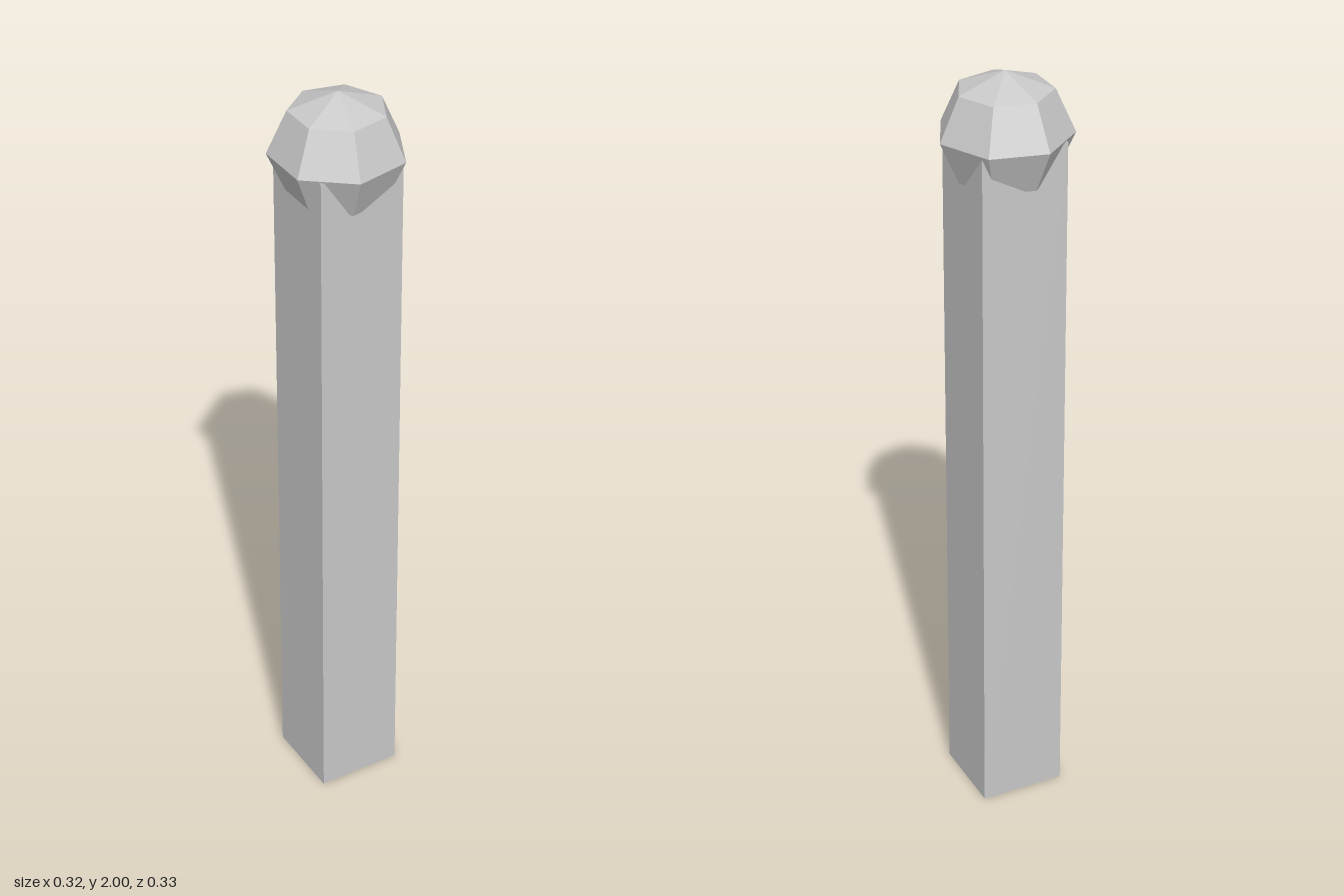
import * as THREE from 'three';

export function createModel() {
  const group = new THREE.Group();
  const stone = new THREE.MeshStandardMaterial({ color: 0xc8c8c8 });
  stone.name = 'light grey';
  stone.flatShading = true;

  // Square shaft, slightly off the axis of the cap
  const height = 1.84;
  const post = new THREE.Mesh(new THREE.BoxGeometry(0.223, height, 0.22), stone);
  post.name = 'post';
  post.position.set(-0.009, height / 2, 0);
  group.add(post);

  // Seven-sided faceted ball sunk over the top, one corner pointing to +x
  const ball = new THREE.SphereGeometry(1, 7, 4, Math.PI, Math.PI * 2);
  ball.scale(0.168, 0.155, 0.168);
  const cap = new THREE.Mesh(ball, stone);
  cap.name = 'ballCap';
  cap.position.set(-0.009, 1.845, 0);
  group.add(cap);

  return group;
}
